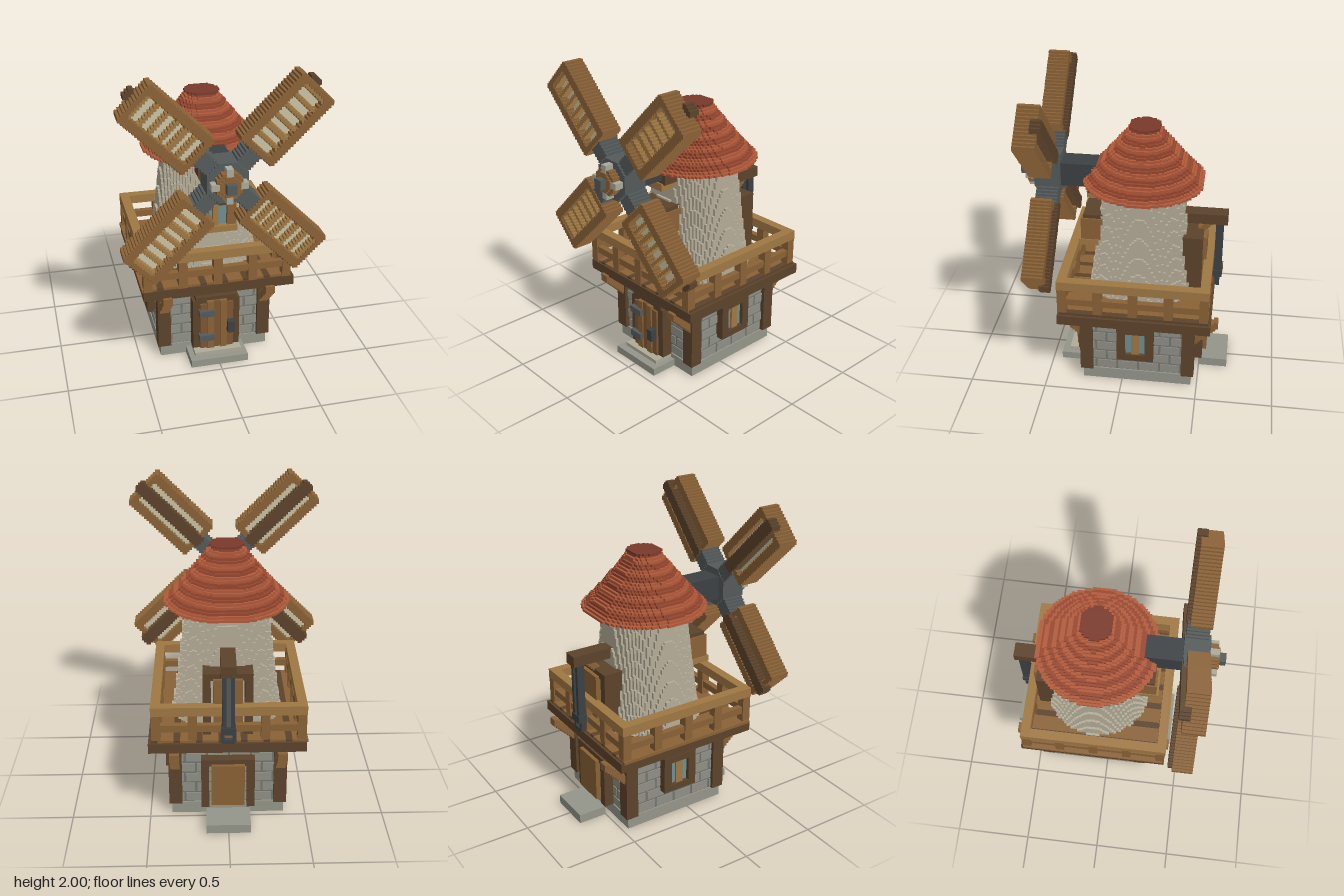
import * as THREE from 'three';
import { mergeGeometries } from 'three/addons/utils/BufferGeometryUtils.js';

const V = 1 / 64; // cell size of the blocky style
const CZ = -0.1; // tower axis in z
const HUB = 1.375; // sail axis height
const C = {
  light: 0xa07843, wood: 0x8a6236, dark: 0x5c432b, stone: 0x8f9086, mortar: 0x74766f, slab: 0x95968a,
  plaster: 0xb5ad98, canvas: 0xc9c3a4, iron: 0x545a5a, black: 0x3c4143, glass: 0x6d8f94,
  tileA: 0xb35a3a, tileB: 0x98482f, cap: 0x7a3a2b,
};
const mats = {};
const mat = (c) => (mats[c] ??= new THREE.MeshStandardMaterial({ color: c, flatShading: true }));

function boxGeo(x0, x1, y0, y1, z0, z1) {
  return new THREE.BoxGeometry(x1 - x0, y1 - y0, z1 - z0).translate((x0 + x1) / 2, (y0 + y1) / 2, (z0 + z1) / 2);
}

function add(parent, name, color, geos) {
  const list = Array.isArray(geos) ? geos : [geos];
  const mesh = new THREE.Mesh(list.length > 1 ? mergeGeometries(list) : list[0], mat(color));
  mesh.name = name;
  parent.add(mesh);
  return mesh;
}

// Disc with a stair-stepped outline, standing on y
function steppedDisc(r, y, h) {
  const n = Math.floor(r / V), right = [];
  for (let i = -n; i < n; i++) {
    const w = Math.max(1, Math.round(Math.sqrt(Math.max(0, r * r - ((i + 0.5) * V) ** 2)) / V)) * V;
    const last = right[right.length - 1];
    if (last && last.x === w) last.y = (i + 1) * V;
    else right.push(new THREE.Vector2(w, i * V), new THREE.Vector2(w, (i + 1) * V));
  }
  const left = right.map((p) => new THREE.Vector2(-p.x, p.y)).reverse();
  return new THREE.ExtrudeGeometry(new THREE.Shape([...right, ...left]), { depth: h, bevelEnabled: false })
    .rotateX(-Math.PI / 2).translate(0, y, CZ);
}

// Cells in the x-y plane around the hub that pass a test, joined into row boxes
function cells(test, z0, z1) {
  const out = [], n = 44;
  for (let j = -n; j < n; j++) {
    let start = null;
    for (let i = -n; i <= n; i++) {
      const inside = i < n && test((i + 0.5) * V, (j + 0.5) * V);
      if (inside && start === null) start = i;
      if (!inside && start !== null) {
        out.push(boxGeo(start * V, i * V, HUB + j * V, HUB + (j + 1) * V, z0, z1));
        start = null;
      }
    }
  }
  return out;
}

export function createModel() {
  const model = new THREE.Group();
  model.name = 'windmill';
  const box = (name, color, ...b) => add(model, name, color, boxGeo(...b));

  // Stone base with running-bond blocks
  box('baseCore', C.mortar, -0.35, 0.35, 0.07, 0.54, CZ - 0.35, CZ + 0.35);
  box('plinth', C.slab, -0.36, 0.36, 0, 0.08, CZ - 0.36, CZ + 0.36);
  const bricks = [];
  for (let row = 0; row < 6; row++) {
    const y = 0.087 + row * 0.074;
    for (let k = -3; k < 4; k++) {
      const a = Math.max(-0.35, k * 0.14 - (row % 2) * 0.07);
      const b = Math.min(0.35, (k + 1) * 0.14 - (row % 2) * 0.07 - 0.014);
      if (b - a < 0.02) continue;
      for (const s of [-1, 1]) {
        const f = s > 0 ? [0.345, 0.356] : [-0.356, -0.345];
        bricks.push(boxGeo(a, b, y, y + 0.06, CZ + f[0], CZ + f[1]));
        bricks.push(boxGeo(f[0], f[1], y, y + 0.06, CZ + a, CZ + b));
      }
    }
  }
  add(model, 'stoneBlocks', C.stone, bricks);
  box('frontStep', C.slab, -0.19, 0.19, 0, 0.05, 0.25, 0.44);
  box('frontSill', 0xb0ab98, -0.155, 0.155, 0.05, 0.075, 0.25, 0.39);
  box('backStep', C.slab, -0.14, 0.14, 0, 0.06, -0.69, -0.5);

  // Corner posts and stepped brackets
  for (const sx of [-1, 1]) for (const sz of [-1, 1]) {
    const px = sx * 0.335, pz = CZ + sz * 0.335;
    box('cornerPost', C.dark, px - 0.042, px + 0.042, 0.08, 0.53, pz - 0.042, pz + 0.042);
    const steps = [];
    for (let i = 0; i < 10; i++) {
      const z = CZ + sz * (0.365 + i * V), y = 0.34 + i * V;
      steps.push(boxGeo(px - 0.03, px + 0.03, y, y + 0.05, z - 0.015, z + 0.015));
    }
    add(model, 'bracket', C.wood, steps);
  }

  // Side windows
  for (const s of [-1, 1]) {
    const side = (name, color, x0, x1, ...r) =>
      box(name, color, Math.min(s * x0, s * x1), Math.max(s * x0, s * x1), ...r);
    for (const z of [-0.21, -0.025]) side('sideWindowJamb', C.dark, 0.34, 0.405, 0.2, 0.455, z, z + 0.055);
    for (const y of [0.2, 0.41]) side('sideWindowRail', C.dark, 0.34, 0.405, y, y + 0.045, -0.156, -0.024);
    side('sideWindowGlass', C.glass, 0.34, 0.38, 0.24, 0.42, -0.16, -0.02);
    side('sideWindowMullion', C.light, 0.34, 0.395, 0.24, 0.415, -0.115, -0.065);
  }

  // Front door
  for (const s of [-1, 1]) box('doorJamb', C.dark, s * 0.13 - 0.025, s * 0.13 + 0.025, 0.07, 0.43, 0.25, 0.33);
  box('doorLintel', C.dark, -0.135, 0.135, 0.41, 0.455, 0.25, 0.33);
  for (let i = 0; i < 5; i++) {
    const x = -0.11 + i * 0.044;
    box('doorPlank', i % 2 ? C.wood : 0x7c5630, x, x + 0.044, 0.075, i % 4 ? 0.43 : 0.41, 0.25, i % 2 ? 0.355 : 0.345);
  }
  for (const y of [0.145, 0.33]) box('doorHinge', C.iron, -0.12, -0.02, y, y + 0.043, 0.33, 0.375);
  box('doorHandle', C.black, 0.065, 0.11, 0.2, 0.28, 0.33, 0.39);

  // Back doors: ground floor and balcony
  for (const [y0, y1, z, w] of [[0.08, 0.43, -0.52, 0.145], [0.6, 1.02, -0.49, 0.13]]) {
    for (const s of [-1, 1]) box('backDoorJamb', C.dark, s * w - 0.025, s * w + 0.025, y0, y1, z, -0.36);
    box('backDoorLintel', C.dark, -w, w, y1 - 0.045, y1, z, -0.36);
    box('backDoorPanel', C.wood, -w + 0.04, w - 0.04, y0 + 0.03, y1 - 0.03, z - 0.025, -0.36);
  }

  // Balcony deck
  box('deckBeam', C.dark, -0.485, 0.495, 0.52, 0.585, -0.575, 0.4);
  for (let i = 0; i < 14; i++) {
    const x = -0.48 + i * 0.0693, dark = i % 2 === 1;
    box('deckPlank', dark ? C.dark : C.wood, x + (dark ? 0.014 : -0.014), x + 0.0693 + (dark ? -0.014 : 0.014),
      0.58, 0.6, -0.56, 0.39);
  }

  // Railing
  const rail = { x0: -0.485, x1: 0.475, z0: -0.56, z1: 0.4, t: 0.06 };
  for (const [y0, y1, c, e] of [[0.77, 0.83, C.light, 0], [0.655, 0.7, C.wood, 0.01]]) {
    const t = rail.t - e;
    for (const z of [rail.z0 + e, rail.z1 - t]) box('railLong', c, rail.x0 + e, rail.x1 - e, y0, y1, z, z + t - e);
    for (const x of [rail.x0 + e, rail.x1 - t]) box('railSide', c, x, x + t - e, y0, y1, rail.z0 + 0.03, rail.z1 - 0.03);
  }
  for (let i = 0; i < 5; i++) {
    const a = rail.x0 + i * 0.225, b = rail.z0 + i * 0.225;
    for (const z of [rail.z0 + 0.002, rail.z1 - 0.058]) box('railPost', C.wood, a + 0.002, a + 0.058, 0.58, 0.78, z, z + 0.056);
    if (i > 0 && i < 4) for (const x of [rail.x0 + 0.002, rail.x1 - 0.058]) box('railPost', C.wood, x, x + 0.056, 0.58, 0.78, b, b + 0.056);
  }

  // Tapered plaster tower
  const layers = [];
  for (let y = 0.59; y < 1.36; y += V) layers.push(steppedDisc(0.355 - 0.1 * Math.pow((y - 0.59) / 0.77, 0.85), y, V));
  add(model, 'tower', C.plaster, layers);

  // Tiled roof in overlapping courses
  box('roofTop', C.cap, -0.05, 0.05, 1.7, 1.719, CZ - 0.05, CZ + 0.05);
  const tiles = { a: [], b: [] };
  for (let i = 0; i < 23; i++) {
    const t = i / 22;
    (i % 4 < 2 ? tiles.a : tiles.b).push(steppedDisc(0.39 - 0.29 * Math.pow(t, 0.92), 1.35 + i * V, V));
  }
  add(model, 'roofTilesLight', C.tileA, tiles.a);
  add(model, 'roofTilesDark', C.tileB, tiles.b);
  add(model, 'roofCap', C.cap, steppedDisc(0.106, 1.708, 0.014));
  add(model, 'roofUnderside', C.cap, steppedDisc(0.37, 1.343, 0.01));

  // Front tower window with stepped arch
  for (const s of [-1, 1]) {
    box('windowJamb', C.wood, s * 0.105 - 0.03, s * 0.105 + 0.03, 0.91, 1.1, 0.14, 0.295);
    box('windowGlass', C.glass, s * 0.047 - 0.033, s * 0.047 + 0.033, 0.94, 1.09, 0.14, 0.27);
  }
  box('windowSill', C.light, -0.14, 0.14, 0.91, 0.95, 0.14, 0.31);
  box('windowMullion', C.light, -0.018, 0.018, 0.94, 1.09, 0.14, 0.295);
  box('windowHead', C.dark, -0.125, 0.125, 1.08, 1.125, 0.14, 0.28);

  // Shaft and its support
  box('shaftSupport', C.dark, -0.1, 0.1, 1.27, 1.37, 0.08, 0.25);
  box('shaftSupportFoot', C.light, -0.08, 0.08, 1.225, 1.275, 0.08, 0.26);
  box('shaft', C.black, -0.075, 0.075, 1.3, 1.455, 0.1, 0.44);

  // Hub
  const octagon = (r) => (x, y) => Math.max(Math.abs(x), Math.abs(y)) < r && Math.abs(x) + Math.abs(y) < r * 1.4;
  add(model, 'hub', C.iron, cells(octagon(0.125), 0.425, 0.585));
  add(model, 'hubRing', C.wood, cells(octagon(0.08), 0.58, 0.638));
  box('hubStudUpright', 0xa9aa9c, -0.02, 0.02, HUB - 0.11, HUB + 0.11, 0.58, 0.642);
  box('hubStudLevel', 0xa9aa9c, -0.11, 0.11, HUB - 0.02, HUB + 0.02, 0.58, 0.642);
  add(model, 'hubRingFace', C.wood, cells(octagon(0.06), 0.63, 0.65));
  box('hubPin', C.iron, -0.03, 0.03, HUB - 0.03, HUB + 0.03, 0.63, 0.69);

  // Four diagonal sails: frame, slats, canvas, spar, iron arm
  for (const sx of [-1, 1]) for (const sy of [-1, 1]) {
    const sail = new THREE.Group();
    sail.name = 'sail';
    model.add(sail);
    const on = (test) => (x, y) => test((sx * x + sy * y) / Math.SQRT2, Math.abs(sx * x - sy * y) / Math.SQRT2);
    const inner = (u, w) => u > 0.27 && u < 0.72 && w < 0.088;
    add(sail, 'sailFrame', C.wood, cells(on((u, w) => u > 0.235 && u < 0.758 && w < 0.135 && !inner(u, w)), 0.445, 0.578));
    add(sail, 'sailSlats', C.light, cells(on((u, w) => inner(u, w) && (u - 0.27) % 0.075 > 0.052), 0.515, 0.57));
    add(sail, 'sailCanvas', C.canvas, cells(on(inner), 0.485, 0.52));
    add(sail, 'sailSpar', C.dark, cells(on((u, w) => u > 0.23 && u < 0.785 && w < 0.038), 0.42, 0.484));
    add(sail, 'sailArm', C.iron, cells(on((u, w) => u > 0.08 && u < 0.245 && w < 0.05), 0.43, 0.57));
  }

  // Hoist at the back: beam, brace, chain and hook
  box('hoistBeam', C.dark, -0.047, 0.047, 1.07, 1.14, -0.64, -0.32);
  const brace = [];
  for (let i = 0; i < 10; i++) brace.push(boxGeo(-0.03, 0.03, 0.93 + i * V, 0.97 + i * V, -0.42 - i * V, -0.39 - i * V));
  add(model, 'hoistBrace', C.wood, brace);
  for (const x of [-0.026, 0.026]) box('hoistChain', C.black, x - 0.012, x + 0.012, 0.68, 1.08, -0.615, -0.565);
  box('hoistLink', C.iron, -0.016, 0.016, 0.7, 1.05, -0.602, -0.578);
  box('hookBlock', C.black, -0.045, 0.045, 0.67, 0.72, -0.62, -0.56);
  for (const x of [-0.036, 0.036]) box('hookSide', C.black, x - 0.012, x + 0.012, 0.61, 0.68, -0.605, -0.575);
  box('hookBottom', C.black, -0.036, 0.036, 0.6, 0.625, -0.605, -0.575);
  return model;
}
